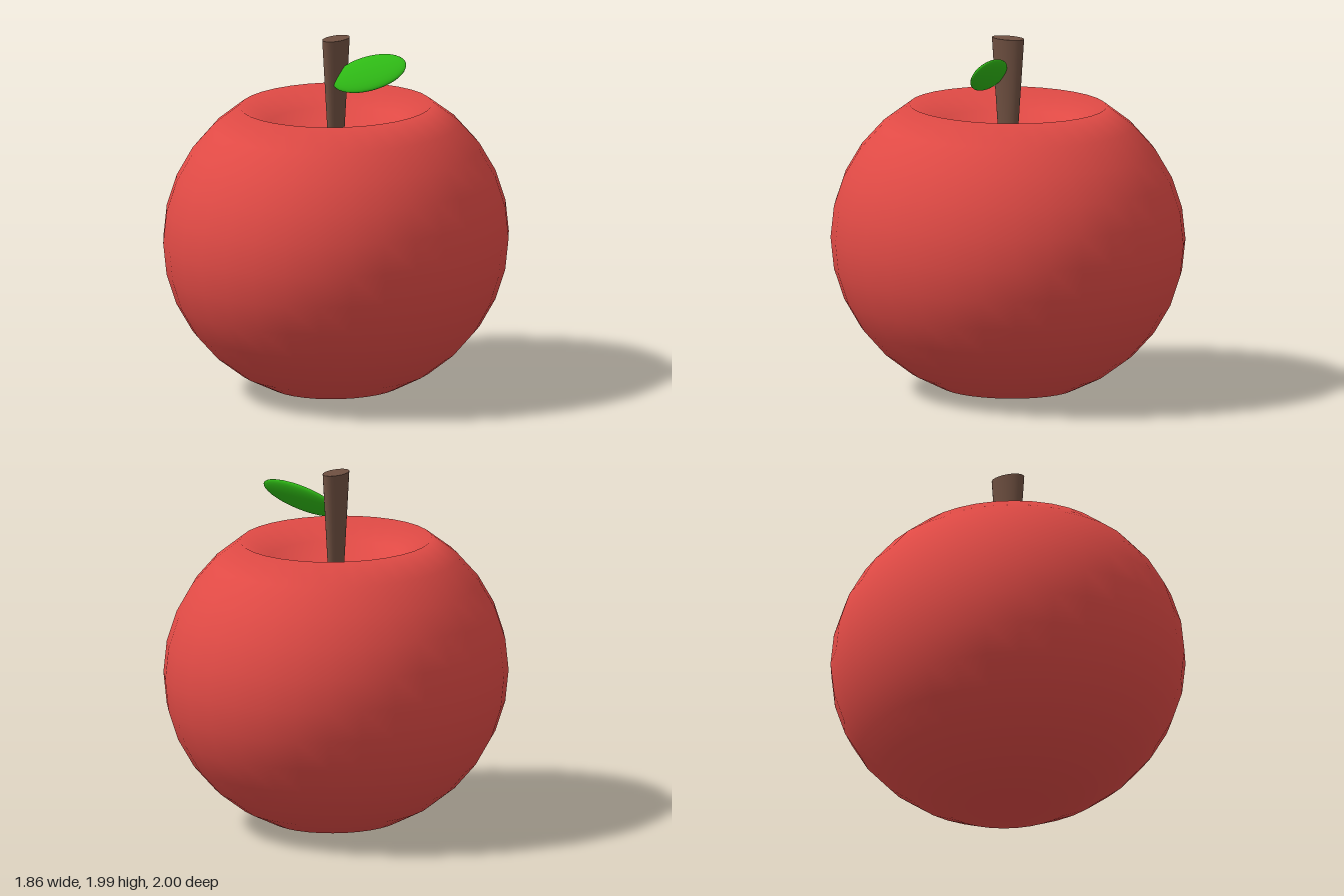
import * as THREE from 'three';

function addPart(group, name, geometry, color) {
  const mesh = new THREE.Mesh(geometry, new THREE.MeshStandardMaterial({ color }));
  mesh.name = name;
  group.add(mesh);
  return mesh;
}

export function createModel() {
  const model = new THREE.Group();
  model.name = 'apple';

  // Body: rounded side rings, closed by a shallow base and a sunken top
  const profile = [new THREE.Vector2(0, 0.02), new THREE.Vector2(0.195, 0)];
  for (let i = -6; i <= 5; i++) {
    const a = (i * Math.PI) / 16;
    profile.push(new THREE.Vector2(Math.cos(a), 0.865 + 0.9 * Math.sin(a)));
  }
  for (const [r, y] of [[0.383, 1.515], [0.195, 1.465], [0, 1.45]]) {
    profile.push(new THREE.Vector2(r, y));
  }
  const body = new THREE.LatheGeometry(profile, 32);
  body.scale(0.93, 1, 1);
  addPart(model, 'body', body, 0xe04a45);

  // Stem: tapered oval post standing in the hollow
  const stem = new THREE.CylinderGeometry(0.058, 0.035, 0.55, 24);
  stem.scale(1, 1, 1.72);
  stem.translate(0, 1.715, 0);
  addPart(model, 'stem', stem, 0x6f5041);

  // Leaf: thin tilted ellipsoid defined by its length, width and thickness axes
  const length = new THREE.Vector3(0.21, 0.065, -0.06);
  const width = new THREE.Vector3(-0.043, 0.082, -0.062);
  const thickness = new THREE.Vector3().crossVectors(length, width).setLength(0.03);
  const leaf = new THREE.SphereGeometry(1, 32, 20);
  leaf.applyMatrix4(
    new THREE.Matrix4().makeBasis(length, width, thickness).setPosition(0.22, 1.82, -0.017)
  );
  addPart(model, 'leaf', leaf, 0x2eb815);

  return model;
}
